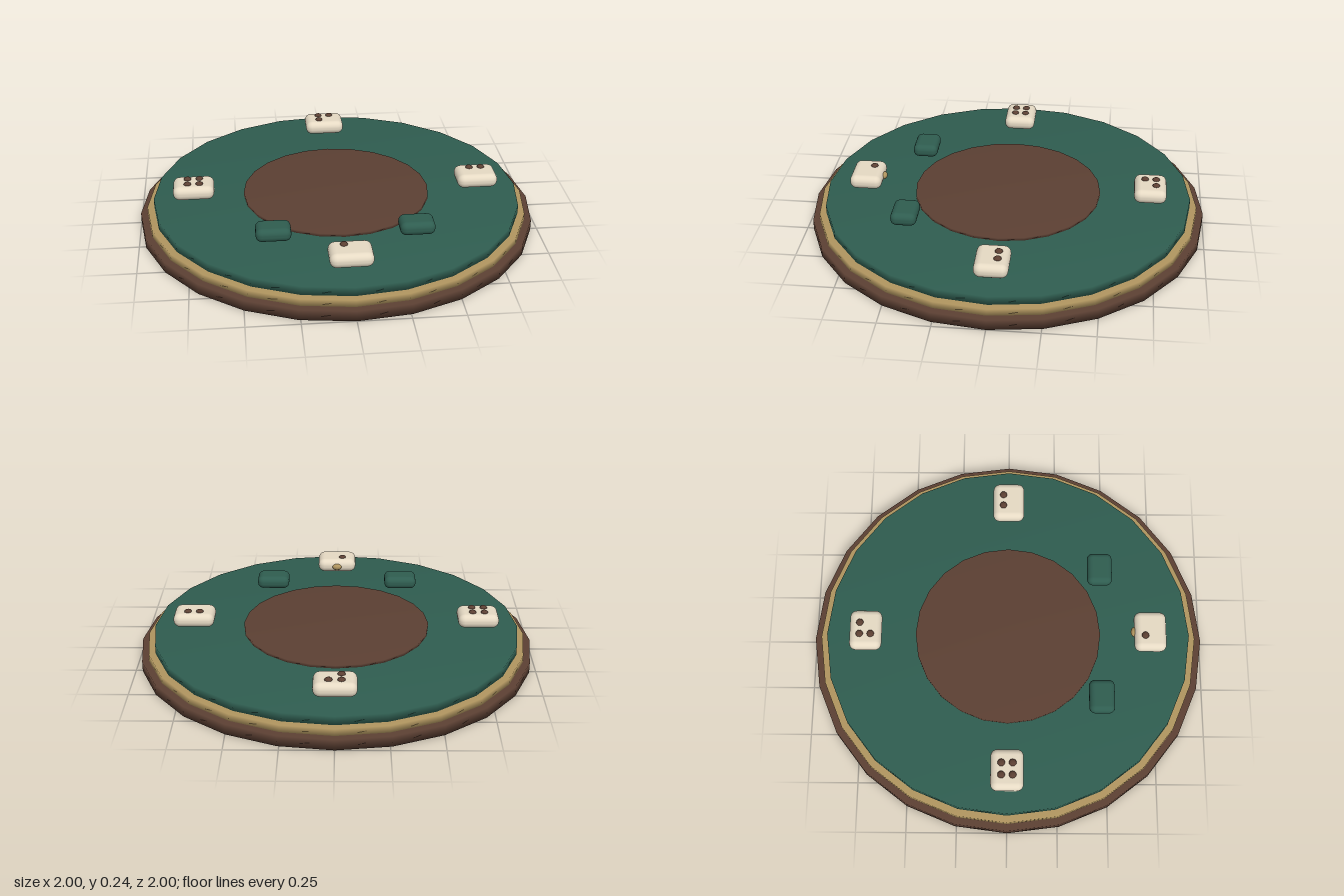
import * as THREE from 'three';
import { mergeVertices } from 'three/addons/utils/BufferGeometryUtils.js';
import { RoundedBoxGeometry } from 'three/addons/geometries/RoundedBoxGeometry.js';

const material = (name, color) => {
  const m = new THREE.MeshStandardMaterial({ color });
  m.name = name;
  return m;
};

export function createModel() {
  const brown = material('dark wood', 0x5c4033);
  const gold = material('brass', 0xb0955f);
  const green = material('green felt', 0x2f5d50);
  const cream = material('ivory', 0xe6dac4);

  const model = new THREE.Group();
  model.name = 'gameTable';

  const add = (parent, name, geometry, mat, x, y, z) => {
    const mesh = new THREE.Mesh(geometry, mat);
    mesh.name = name;
    mesh.position.set(x, y, z);
    parent.add(mesh);
    return mesh;
  };

  // 24-sided disc whose normals run softly across the rim
  const disc = (name, radius, y0, y1, mat) => {
    let g = new THREE.CylinderGeometry(radius, radius, y1 - y0, 24);
    g.deleteAttribute('normal');
    g.deleteAttribute('uv');
    g = mergeVertices(g);
    g.computeVertexNormals();
    add(model, name, g, mat, 0, (y0 + y1) / 2, 0);
  };

  // Stacked round board
  disc('base', 1, 0, 0.053, brown);
  disc('trimRing', 0.965, 0.045, 0.088, gold);
  disc('feltTop', 0.93, 0.08, 0.132, green);
  disc('centreDisc', 0.473, 0.128, 0.147, brown);

  // Four ivory tiles, numbered by one to four raised pips
  const tileGeometry = new RoundedBoxGeometry(0.207, 0.073, 0.163, 3, 0.034);
  const pipGeometry = new THREE.SphereGeometry(0.019, 12, 8);
  const pipSpots = [[-1, -1], [1, -1], [-1, 1], [1, 1]];
  const seats = [['front', 0, 0.725], ['right', 0.725, 0], ['back', 0, -0.725], ['left', -0.725, 0]];
  seats.forEach(([side, x, z], i) => {
    const tile = new THREE.Group();
    tile.name = `${side}Tile`;
    tile.position.set(x, 0.186, z);
    add(tile, 'tileBody', tileGeometry, cream, 0, 0, 0);
    for (const [px, pz] of pipSpots.slice(0, i + 1)) {
      add(tile, 'pip', pipGeometry, brown, px * 0.03, 0.036, pz * 0.028).scale.y = 0.7;
    }
    model.add(tile);
  });

  // Brass stud on the inner edge of the front tile
  add(model, 'frontStud', new THREE.SphereGeometry(0.02, 12, 8), gold, 0, 0.186, 0.643)
    .scale.set(1.3, 0.85, 0.85);

  // Pair of green counters
  const counterGeometry = new RoundedBoxGeometry(0.17, 0.068, 0.128, 3, 0.03);
  for (const s of [-1, 1]) {
    add(model, s > 0 ? 'leftCounter' : 'rightCounter', counterGeometry, green, s * 0.345, 0.184, 0.473);
  }
  return model;
}
